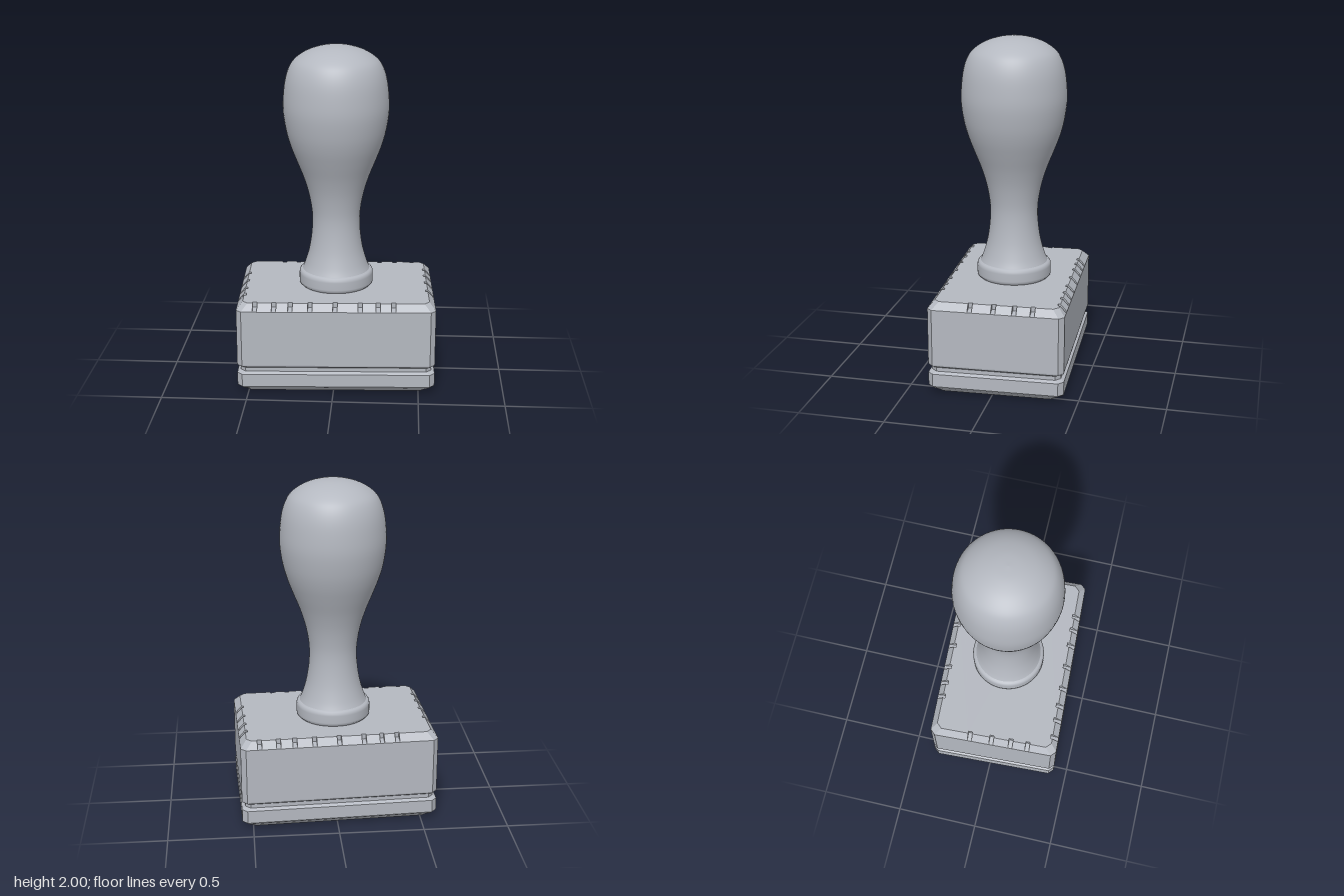
import * as THREE from 'three';

const HX = 0.58, HZ = 0.395, CUT = 0.03;      // half sizes of the block and its corner cut
const Y_CHAMFER = 0.515, Y_TOP = 0.557;       // start and end of the top chamfer
const INSET = 0.037, SLOT_DEPTH = 0.05, SLOT_HALF = 0.013;
const frontSlots = [-0.47, -0.36, -0.265, -0.15, -0.005, 0.14, 0.245, 0.335];
const sideSlots = [-0.215, -0.11, 0.01, 0.145];

// Flat-faced geometry from a list of counter-clockwise quads
function fromQuads(quads) {
  const pos = [];
  for (const [a, b, c, d] of quads) for (const p of [a, b, c, a, c, d]) pos.push(...p);
  const g = new THREE.BufferGeometry();
  g.setAttribute('position', new THREE.Float32BufferAttribute(pos, 3));
  g.computeVertexNormals();
  return g;
}

// Rectangle with cut corners, at a given inset and height
function ring(inset, y) {
  const x = HX - inset, z = HZ - inset;
  const half = [[-x + CUT, z], [x - CUT, z], [x, z - CUT], [x, -z + CUT]];
  return [...half, ...half.map(([a, b]) => [-a, -b])].map(([a, b]) => [a, y, b]);
}

// Walls through a stack of [inset, y] rings, listed from the bottom up
function loft(levels, closeBottom) {
  const rings = levels.map(([i, y]) => ring(i, y));
  const quads = [];
  for (let k = 0; k + 1 < rings.length; k++) {
    for (let i = 0; i < 8; i++) {
      const j = (i + 1) % 8;
      quads.push([rings[k][i], rings[k][j], rings[k + 1][j], rings[k + 1][i]]);
    }
  }
  if (closeBottom) {
    const r = rings[0];
    quads.push([r[0], r[3], r[2], r[1]], [r[0], r[7], r[4], r[3]], [r[7], r[6], r[5], r[4]]);
  }
  return fromQuads(quads);
}

// Chamfered rim with open slots; also returns the outline of the top face
function slottedRim() {
  const quads = [], outline = [];
  const low = ring(0, Y_CHAMFER), high = ring(INSET, Y_TOP);
  for (let side = 0; side < 4; side++) {
    const flip = side < 2 ? 1 : -1, isFront = side % 2 === 0;
    // point at distance u along the side, set in from the edge
    const at = (u, inset, y) => isFront
      ? [flip * u, y, flip * (HZ - inset)]
      : [flip * (HX - inset), y, -flip * u];
    const slots = isFront ? frontSlots : sideSlots.map(z => -z).reverse();
    const i = side * 2, next = (i + 2) % 8;
    let a = low[i], b = high[i];
    outline.push(b);
    for (const u of slots) {
      const [s, e] = [u - SLOT_HALF, u + SLOT_HALF].map(v => ({
        o: at(v, 0, Y_CHAMFER), w: at(v, SLOT_DEPTH, Y_CHAMFER + 0.012),
        t: at(v, SLOT_DEPTH, Y_TOP), c: at(v, INSET, Y_TOP),
      }));
      quads.push(
        [a, s.o, s.c, b],            // chamfer before the slot
        [s.o, e.o, e.w, s.w],        // slot floor
        [s.w, e.w, e.t, s.t],        // slot back
        [s.o, s.w, s.t, s.c],        // slot ends
        [e.c, e.t, e.w, e.o],
      );
      outline.push(s.c, s.t, e.t, e.c);
      a = e.o; b = e.c;
    }
    quads.push([a, low[i + 1], high[i + 1], b]);
    outline.push(high[i + 1]);
    quads.push([low[i + 1], low[next], high[next], high[i + 1]]);   // corner facet
  }
  return { geometry: fromQuads(quads), outline };
}

export function createModel() {
  const model = new THREE.Group();
  model.name = 'handStamp';
  const grey = new THREE.MeshStandardMaterial({ color: 0xb4b8c0 });
  grey.name = 'plain grey';
  const add = (parent, name, geometry) => {
    const mesh = new THREE.Mesh(geometry, grey);
    mesh.name = name;
    parent.add(mesh);
    return mesh;
  };

  // Base block, turned slightly
  const base = new THREE.Group();
  base.name = 'base';
  base.rotation.y = 0.042;
  model.add(base);

  add(base, 'stampPlate', loft([[0.05, 0], [0.035, 0.015], [0.008, 0.035],
    [0, 0.045], [0, 0.122], [0.02, 0.134]], true));
  add(base, 'groove', loft([[0.02, 0.134], [0.02, 0.158]]));
  add(base, 'block', loft([[0.02, 0.158], [0.002, 0.17], [0, 0.18], [0, Y_CHAMFER]]));

  const rim = slottedRim();
  add(base, 'slottedRim', rim.geometry);
  const topShape = new THREE.Shape(rim.outline.map(p => new THREE.Vector2(p[0], -p[2])));
  add(base, 'blockTop', new THREE.ShapeGeometry(topShape).rotateX(-Math.PI / 2).translate(0, Y_TOP, 0));

  // Turned handle
  const handle = new THREE.Group();
  handle.name = 'handle';
  handle.position.set(-0.004, 0, -0.006);
  model.add(handle);

  const v = (x, y) => new THREE.Vector2(x, y);
  add(handle, 'collar', new THREE.LatheGeometry([v(0.205, 0.55), v(0.212, 0.56), v(0.22, 0.568),
    v(0.221, 0.58), v(0.221, 0.625), v(0.219, 0.638), v(0.212, 0.648), v(0.198, 0.654)], 64));

  const grip = new THREE.SplineCurve([
    v(0.204, 0.645), v(0.185, 0.69), v(0.162, 0.77), v(0.147, 0.86), v(0.141, 0.95), v(0.146, 1.03),
    v(0.165, 1.13), v(0.196, 1.23), v(0.236, 1.33), v(0.27, 1.42), v(0.294, 1.51), v(0.309, 1.62),
    v(0.306, 1.72), v(0.293, 1.81), v(0.268, 1.88), v(0.232, 1.925), v(0.165, 1.967),
    v(0.08, 1.993), v(0, 2),
  ]).getPoints(72);
  grip[grip.length - 1].set(0, 2);
  add(handle, 'grip', new THREE.LatheGeometry(grip, 64));

  return model;
}
